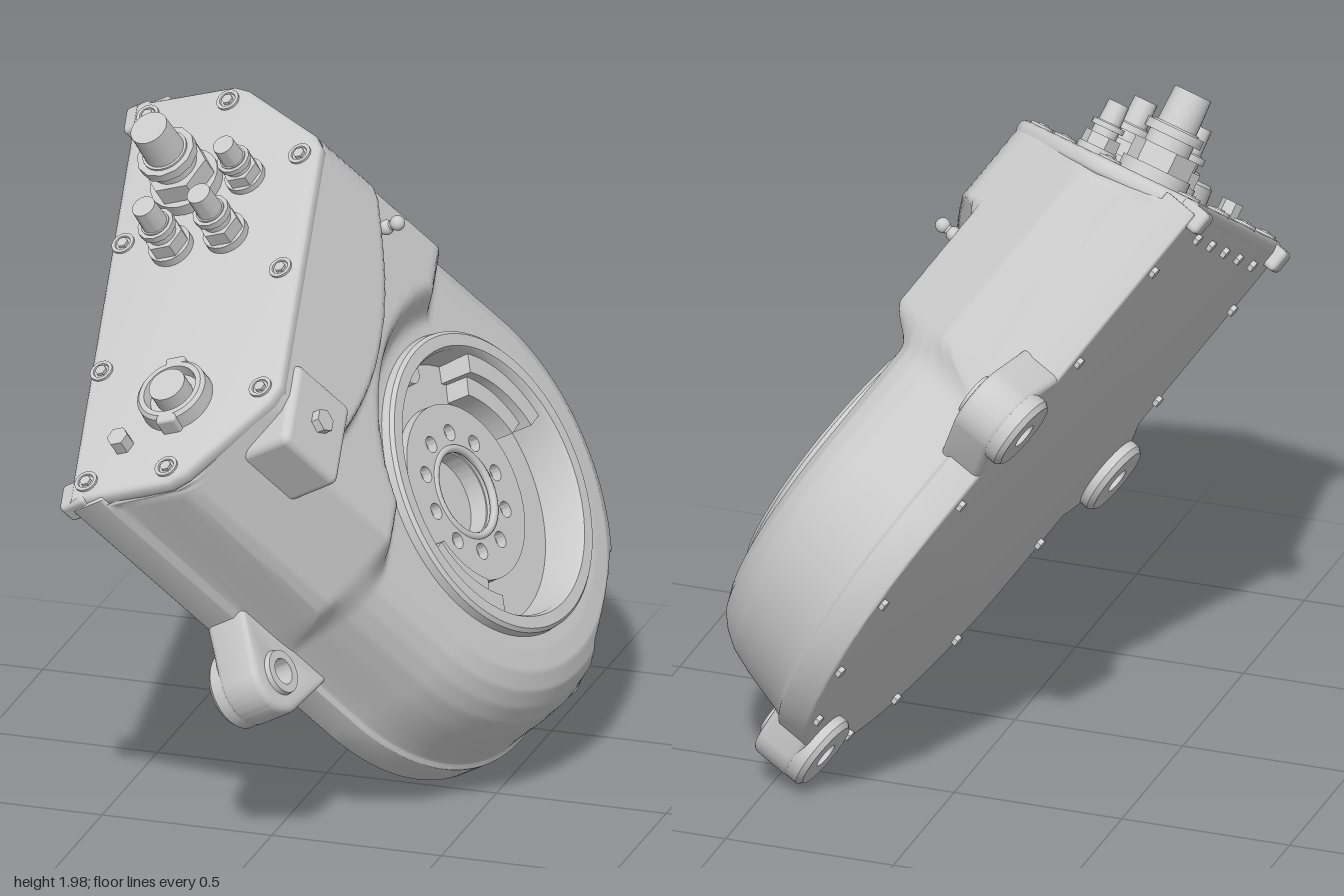
import * as THREE from 'three';
import { toCreasedNormals } from 'three/addons/utils/BufferGeometryUtils.js';
import { RoundedBoxGeometry } from 'three/addons/geometries/RoundedBoxGeometry.js';

const R = 0.73, END = 1.15, SLANT = 0.25, RING = 0.42;
const mat = new THREE.MeshStandardMaterial({ color: 0xcccccc });
const matDouble = new THREE.MeshStandardMaterial({ color: 0xcccccc, side: THREE.DoubleSide });
const { smoothstep } = THREE.MathUtils;

function add(parent, name, geo, x = 0, y = 0, z = 0, material = mat) {
  const m = new THREE.Mesh(geo, material);
  m.name = name;
  m.position.set(x, y, z);
  parent.add(m);
  return m;
}
// cylinder along z, standing on z = 0
function stud(r, h, sides = 24, rTop = r) {
  const g = new THREE.CylinderGeometry(rTop, r, h, sides).rotateX(Math.PI / 2).translate(0, 0, h / 2);
  return toCreasedNormals(g, 0.6);
}
// lathe around z from [radius, height] pairs
function lathe(points, seg = 64) {
  const g = new THREE.LatheGeometry(points.map(p => new THREE.Vector2(...p)), seg);
  return toCreasedNormals(g.rotateX(Math.PI / 2), 0.5);
}
function extrude(shape, depth, bevel = 0) {
  const g = new THREE.ExtrudeGeometry(shape, {
    depth: depth - 2 * bevel, curveSegments: 40, bevelEnabled: bevel > 0,
    bevelSize: bevel, bevelThickness: bevel, bevelOffset: -bevel, bevelSegments: 3,
  });
  return toCreasedNormals(g.translate(0, 0, bevel), 0.6);
}
function hole(shape, x, y, r) {
  shape.holes.push(new THREE.Path().absarc(x, y, r, 0, Math.PI * 2, true));
}
// piecewise linear curve through [x, y] pairs
function curve(pts, x) {
  for (let i = 1; i < pts.length; i++) {
    const [x0, y0] = pts[i - 1], [x1, y1] = pts[i];
    if (x <= x1) return y0 + (y1 - y0) * Math.max(0, (x - x0) / (x1 - x0));
  }
  return pts[pts.length - 1][1];
}

// height of the casing above its back plane
const dome = [[0, 0.1], [0.014, 0.112], [0.024, 0.15], [0.045, 0.25], [0.065, 0.32], [0.093, 0.37], [0.13, 0.41], [0.18, 0.435], [0.24, 0.44]];
const box = [[0, 0.1], [0.014, 0.13], [0.022, 0.3], [0.04, 0.34], [0.25, 0.58], [0.3, 0.6]];
function height(u, v) {
  const r = Math.hypot(u, v);
  const d = u > 0 ? R - Math.abs(v) : R - r;
  const low = curve(dome, d);
  const shelf = 0.53 + 0.07 * smoothstep(u - 0.6 * v * v, 0.6, 0.66);
  const high = Math.min(curve(box, d), shelf);
  const w = Math.min(smoothstep(r, 0.48, 0.58), smoothstep(u, 0.32, 0.43));
  // recess above the lower ear, with rounded corners
  const du = Math.max(0, u + 0.61), dv = Math.max(0, Math.abs(v) - 0.145);
  const recess = 0.11 + 6 * Math.hypot(du, dv);
  const h = low + (high - low) * w;
  return u < -0.3 ? Math.min(h, recess) : h;
}
// polar skin from the opening out to the U-shaped outline
function casingGeometry() {
  const corner = Math.atan2(R, END), angles = [corner, Math.PI * 2 - corner], N = 64, pos = [], idx = [];
  for (let a = 0; a < 360; a += Math.abs(a - 180) < 24 ? 0.5 : 1) angles.push(a * Math.PI / 180);
  angles.sort((a, b) => a - b);
  const A = angles.length;
  angles.forEach((a, i) => {
    const c = Math.cos(a), s = Math.sin(a);
    const edge = c > 1e-6 ? Math.min(END / c, R / Math.max(1e-6, Math.abs(s))) : R;
    for (let j = 0; j <= N; j++) {
      const r = RING + (edge - RING) * (1 - (1 - j / N) ** 1.6);
      const u = r * c, v = r * s, h = height(u, v);
      pos.push(u - SLANT * h * smoothstep(u, 0.7, END), v, h);
      if (j < N) {
        const p = i * (N + 1) + j, q = ((i + 1) % A) * (N + 1) + j;
        idx.push(p, p + 1, q + 1, p, q + 1, q);
      }
    }
  });
  const g = new THREE.BufferGeometry();
  g.setAttribute('position', new THREE.Float32BufferAttribute(pos, 3));
  g.setIndex(idx);
  g.computeVertexNormals();
  return g;
}
function outline(r) {
  const s = new THREE.Shape();
  s.moveTo(END, r);
  s.lineTo(0, r);
  s.absarc(0, 0, r, Math.PI / 2, Math.PI * 1.5, false);
  s.lineTo(END, -r);
  return s;
}

// mounting ear pointing along its own +y
function ear(parent, name, u, v, turn) {
  const g = new THREE.Group();
  g.name = name;
  g.position.set(u, v, 0);
  g.rotation.z = turn;
  const s = new THREE.Shape();
  s.moveTo(-0.2, -0.12);
  s.lineTo(0.2, -0.12);
  s.absarc(0, 0, 0.115, 0.55, Math.PI - 0.55, false);
  hole(s, 0, 0, 0.04);
  add(g, 'earArm', extrude(s, 0.135, 0.02));
  add(g, 'earBoss', lathe([[0.038, -0.04], [0.1, -0.04], [0.113, -0.025], [0.113, 0.1], [0.1, 0.13], [0.066, 0.135],
    [0.063, 0.15], [0.038, 0.15], [0.038, -0.04]], 32));
  parent.add(g);
}

// threaded cable fitting with hex nut, standing on the panel
function fitting(parent, name, x, y, r, h) {
  const g = new THREE.Group();
  g.name = name;
  g.position.set(x, y, 0.03);
  add(g, 'fittingFlange', stud(r * 1.3, h * 0.15));
  add(g, 'fittingNut', stud(r * 1.2, h * 0.22, 6), 0, 0, h * 0.15);
  add(g, 'fittingCollar', stud(r * 0.85, h * 0.25), 0, 0, h * 0.37);
  add(g, 'fittingRing', stud(r * 1.1, h * 0.1, 12), 0, 0, h * 0.5);
  add(g, 'fittingTip', stud(r * 0.75, h * 0.4, 24, r * 0.7), 0, 0, h * 0.6);
  parent.add(g);
}

function buildPanel() {
  const g = new THREE.Group();
  g.name = 'connectorPanel';
  const len = Math.hypot(1, SLANT), c = 1 / len, k = SLANT / len;
  g.quaternion.setFromRotationMatrix(new THREE.Matrix4().makeBasis(
    new THREE.Vector3(0, 1, 0), new THREE.Vector3(-k, 0, c), new THREE.Vector3(c, 0, k)));
  g.position.set(END, 0, 0);
  const half = [[0.72, 0], [0.715, 0.31], [0.69, 0.36], [0.48, 0.595], [0.43, 0.62]];
  const pts = [...half, ...half.map(([x, y]) => [-x, y]).reverse()];
  add(g, 'panelCover', extrude(new THREE.Shape(pts.map(p => new THREE.Vector2(...p))), 0.055, 0.02), 0, 0, -0.02);
  // perimeter screws in raised seats
  const screws = [[0.66, 0.05], [0.26, 0.04], [-0.2, 0.04], [-0.66, 0.05], [0.66, 0.3], [-0.66, 0.3],
    [0.43, 0.56], [0, 0.56], [-0.41, 0.56]];
  for (const [x, y] of screws) {
    add(g, 'screwSeat', lathe([[0.034, 0], [0.034, 0.042], [0.024, 0.042], [0.022, 0.037], [0, 0.037]], 24), x, y, 0);
    add(g, 'screwHead', stud(0.017, 0.046, 6), x, y, 0);
  }
  fitting(g, 'largeFitting', -0.37, 0.22, 0.08, 0.275);
  for (const [x, y] of [[-0.15, 0.2], [-0.16, 0.37]]) fitting(g, 'smallFitting', x, y, 0.05, 0.2);
  fitting(g, 'shortFitting', -0.36, 0.4, 0.045, 0.16);
  // round socket with plug
  add(g, 'socketRing', lathe([[0.11, 0], [0.105, 0.08], [0.095, 0.09], [0.08, 0.09], [0.075, 0.055], [0, 0.055]], 40), 0.42, 0.3, 0);
  add(g, 'socketPlug', stud(0.055, 0.11, 32), 0.42, 0.3, 0);
  for (const s of [-1, 1]) add(g, 'socketLug', new RoundedBoxGeometry(0.035, 0.06, 0.08, 2, 0.01), 0.42 + s * 0.1, 0.3, 0.05);
  add(g, 'hexPlug', stud(0.032, 0.08, 6), 0.55, 0.15, 0);
  return g;
}

function buildOpening(parent) {
  add(parent, 'openingCollar', lathe([[0.455, 0.39], [0.445, 0.465], [0.435, 0.475], [0.4, 0.475], [0.392, 0.46],
    [0.385, 0.345], [0.125, 0.345], [0.125, 0.29], [0, 0.29]], 96));
  // hub plate with ring of bolt holes
  const hub = new THREE.Shape().absarc(0, 0, 0.26, 0, Math.PI * 2, false);
  hole(hub, 0, 0, 0.13);
  for (let i = 0; i < 10; i++) {
    const a = (i + 0.5) * Math.PI / 5;
    hole(hub, 0.175 * Math.cos(a), 0.175 * Math.sin(a), 0.024);
  }
  add(parent, 'hubPlate', extrude(hub, 0.045), 0, 0, 0.33);
  add(parent, 'hubLip', new THREE.TorusGeometry(0.13, 0.012, 8, 48), 0, 0, 0.37);
  // curved blocks on opposite sides
  for (const side of [-1, 1]) {
    const mid = side * Math.PI / 2;
    for (const [r0, r1, top, span] of [[0.28, 0.335, 0.42, 0.36], [0.335, 0.39, 0.45, 0.42]]) {
      const s = new THREE.Shape();
      s.absarc(0, 0, r1, mid - span, mid + span, false);
      s.absarc(0, 0, r0, mid + span, mid - span, true);
      add(parent, 'curvedBlock', extrude(s, top - 0.34), 0, 0, 0.34);
    }
  }
  // small bosses along the inner wall
  for (const a of [-0.45, 0.1, 0.65]) add(parent, 'wallBoss', stud(0.04, 0.09, 24, 0.035), 0.385 * Math.cos(a), 0.385 * Math.sin(a), 0.34);
}

export function createModel() {
  const model = new THREE.Group();
  model.name = 'motorHousing';
  const body = new THREE.Group();
  body.name = 'housing';
  // local axes: x towards the connector panel, y across, z out of the round opening
  const n = new THREE.Vector3(0.857, 0.495, 0.146).normalize();
  const u = new THREE.Vector3(-0.496, 0.713, 0.495);
  u.addScaledVector(n, -u.dot(n)).normalize();
  const v = new THREE.Vector3().crossVectors(n, u);
  body.quaternion.setFromRotationMatrix(new THREE.Matrix4().makeBasis(u, v, n));
  body.position.set(0.026, 0.635, -0.247);
  model.add(body);

  add(body, 'casing', casingGeometry(), 0, 0, 0, matDouble);
  add(body, 'backFlange', extrude(outline(R), 0.105, 0.008));
  body.add(buildPanel());
  buildOpening(body);

  ear(body, 'leftEar', 0.37, 0.815, 0);
  ear(body, 'rightEar', 0.37, -0.815, Math.PI);
  ear(body, 'lowerEar', -0.71, 0, Math.PI / 2);

  // square cover pad with hex bolt
  add(body, 'coverPad', new RoundedBoxGeometry(0.24, 0.28, 0.32, 3, 0.025), 0.86, 0.45, 0.455);
  add(body, 'coverBolt', stud(0.035, 0.025, 6), 0.86, 0.45, 0.615);
  // bleed valve
  add(body, 'valveStem', stud(0.014, 0.08), 0.66, -0.42, 0.5);
  for (const z of [0.55, 0.59]) add(body, 'valveBead', new THREE.SphereGeometry(0.022, 16, 12), 0.66, -0.42, z);

  // corner tabs and bolts on the back
  for (const s of [-1, 1]) {
    add(body, 'cornerTab', new RoundedBoxGeometry(0.07, 0.09, 0.09, 2, 0.015), END - 0.01, s * 0.68, 0.01);
    for (const x of [0.1, 0.62, 0.95]) add(body, 'backBolt', stud(0.018, 0.024, 6), x, s * 0.69, -0.014);
  }
  for (let i = 0; i < 7; i++) {
    const a = Math.PI * (0.62 + i * 0.76 / 6);
    if (i !== 3) add(body, 'backBolt', stud(0.018, 0.024, 6), 0.69 * Math.cos(a), 0.69 * Math.sin(a), -0.014);
  }
  for (let i = -2; i <= 2; i++) add(body, 'backBolt', stud(0.018, 0.024, 6), 1.09, i * 0.24, -0.014);
  return model;
}
